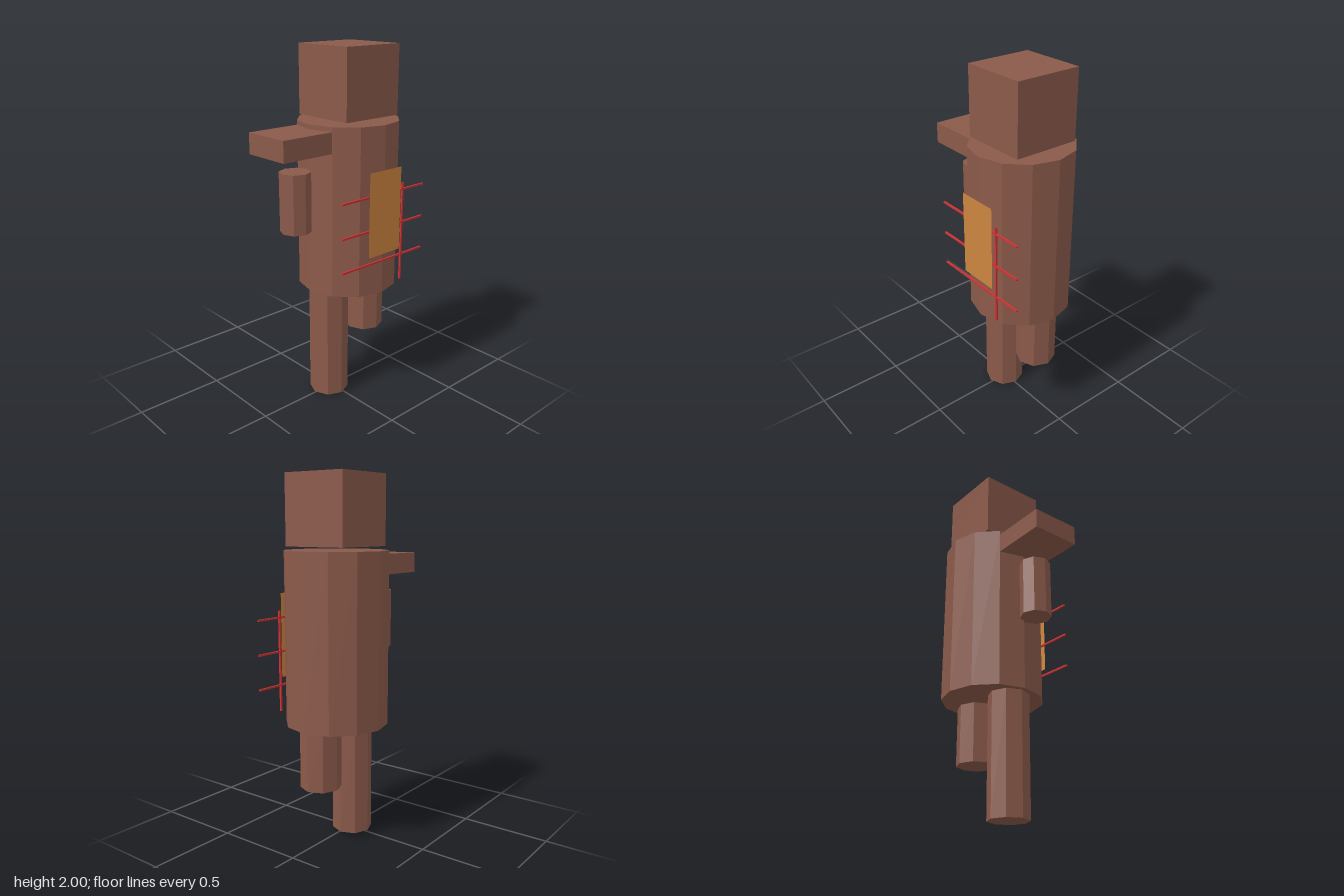
import * as THREE from 'three';

const material = (color) => new THREE.MeshStandardMaterial({ color, flatShading: true });

export function createModel() {
  const group = new THREE.Group();
  const brown = material(0x8b5a4a);
  const orange = material(0xcd853f);
  orange.side = THREE.DoubleSide;
  const red = material(0xcc3333);
  const midZ = -0.007;

  function add(name, geometry, mat, x, y, z = midZ) {
    const mesh = new THREE.Mesh(geometry, mat);
    mesh.name = name;
    mesh.position.set(x, y, z);
    group.add(mesh);
  }
  // Upright prism standing between two heights
  function column(name, radius, sides, x, y0, y1) {
    add(name, new THREE.CylinderGeometry(radius, radius, y1 - y0, sides), brown, x, (y0 + y1) / 2);
  }

  // Torso and head
  column('torso', 0.282, 12, 0.127, 0.665, 1.605);
  add('head', new THREE.BoxGeometry(0.375, 0.375, 0.375), brown, 0.126, 1.8125);

  // Legs, the left one cut short
  column('rightLeg', 0.112, 8, -0.017, 0, 0.665);
  column('leftLeg', 0.112, 8, 0.266, 0.333, 0.665);

  // Single arm: flat shoulder slab with a detached forearm below it
  add('shoulder', new THREE.BoxGeometry(0.375, 0.113, 0.281), brown, -0.246, 1.523);
  column('forearm', 0.085, 8, -0.252, 1.042, 1.37);

  // Chest panel and the thin bars behind it
  add('chestPanel', new THREE.PlaneGeometry(0.235, 0.47), orange, 0.127, 1.135, 0.286);
  for (const y of [0.86, 1.05, 1.238]) {
    add('crossBar', new THREE.BoxGeometry(0.613, 0.01, 0.01), red, 0.127, y, 0.277);
  }
  add('uprightBar', new THREE.BoxGeometry(0.01, 0.565, 0.01), red, 0.268, 0.993, 0.277);

  return group;
}
